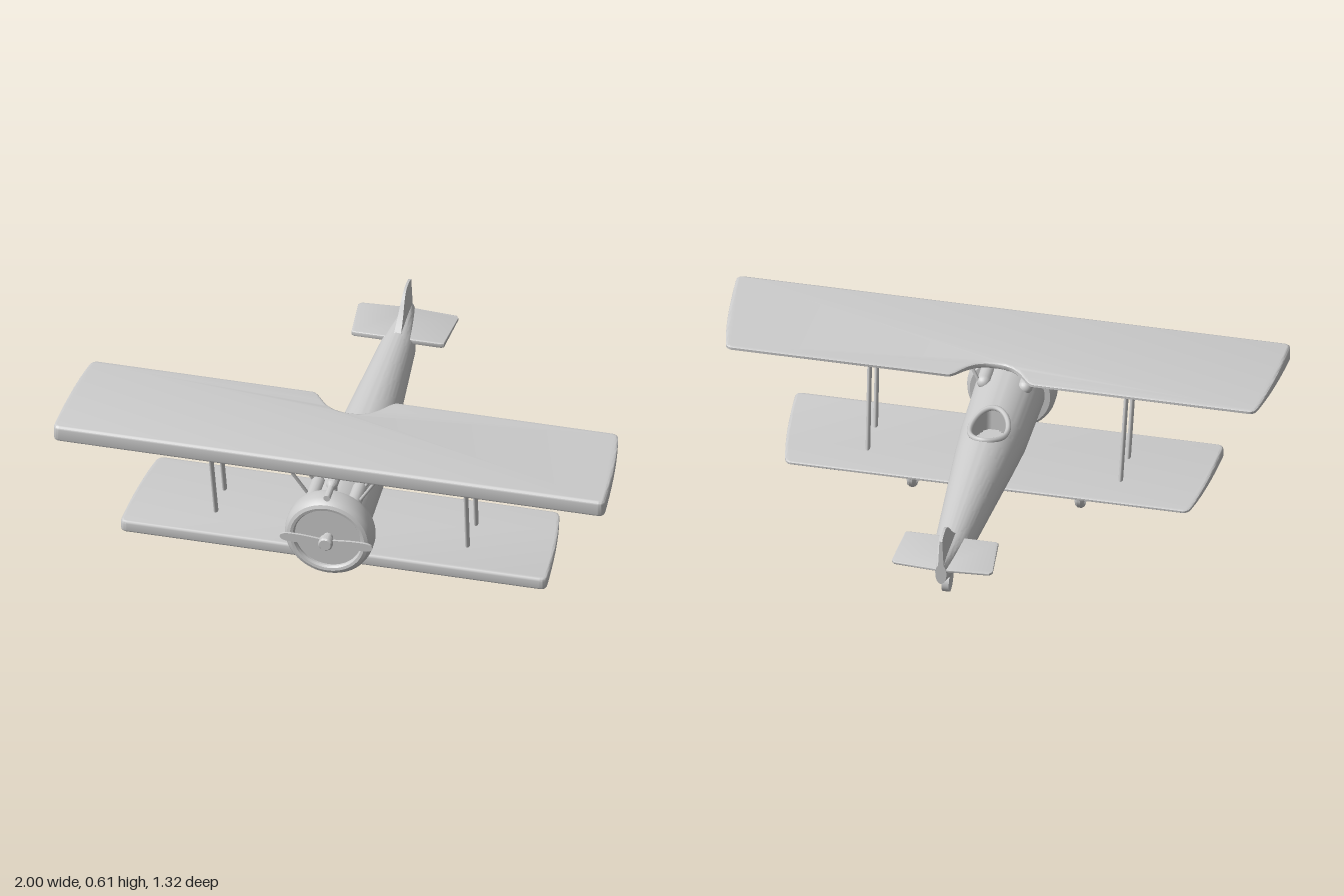
import * as THREE from 'three';
import { toCreasedNormals } from 'three/addons/utils/BufferGeometryUtils.js';

const V = (x, y, z) => new THREE.Vector3(x, y, z);
const material = new THREE.MeshStandardMaterial({ color: 0xcccccc, side: THREE.DoubleSide });

// fuselage stations: z, half width, top, bottom
const stations = [
  [-0.66, 0.02, 0.405, 0.32], [-0.47, 0.064, 0.407, 0.27], [0.1, 0.11, 0.42, 0.2],
  [0.25, 0.12, 0.42, 0.182], [0.54, 0.125, 0.42, 0.178],
];
function section(z) {
  let i = 0;
  while (i < stations.length - 2 && z > stations[i + 1][0]) i++;
  const a = stations[i], b = stations[i + 1];
  const t = (z - a[0]) / (b[0] - a[0]);
  const [hw, top, bottom] = [1, 2, 3].map((k) => a[k] + (b[k] - a[k]) * t);
  return { hw, cy: (top + bottom) / 2, hh: (top - bottom) / 2 };
}

function editVertices(geometry, rule) {
  const p = geometry.attributes.position;
  const v = new THREE.Vector3();
  for (let i = 0; i < p.count; i++) {
    rule(v.fromBufferAttribute(p, i));
    p.setXYZ(i, v.x, v.y, v.z);
  }
  geometry.computeVertexNormals();
  return geometry;
}

// plan shape is drawn in (x, z), then thickened in y below "top"; thinner towards the rear
function wingGeometry(shape, top, thick, front, rear, rearRatio, bevel) {
  const geometry = new THREE.ExtrudeGeometry(shape, {
    depth: thick - 2 * bevel, curveSegments: 16, bevelEnabled: true,
    bevelSize: bevel, bevelThickness: bevel, bevelOffset: -bevel, bevelSegments: 3,
  });
  geometry.translate(0, 0, bevel);
  geometry.rotateX(Math.PI / 2); // shape y becomes z, depth goes down
  editVertices(geometry, (v) => {
    const t = (v.z - rear) / (front - rear);
    v.y = top + v.y * (rearRatio + (1 - rearRatio) * t) - 0.006 * (1 - t);
  });
  return toCreasedNormals(geometry, 0.6);
}

function wingPlan(span, front, rear, cutout) {
  const s = new THREE.Shape();
  const c = front - rear;
  s.moveTo(-span + 0.025, front);
  s.lineTo(span - 0.025, front);
  s.quadraticCurveTo(span, front, span, front - 0.025);
  s.quadraticCurveTo(span - 0.01, rear + c * 0.4, span - 0.04, rear + 0.03);
  s.quadraticCurveTo(span - 0.045, rear, span - 0.07, rear);
  if (cutout) {
    s.lineTo(0.15, rear);
    s.bezierCurveTo(0.11, rear + 0.02, 0.1, rear + 0.095, 0, rear + 0.095);
    s.bezierCurveTo(-0.1, rear + 0.095, -0.11, rear + 0.02, -0.15, rear);
  }
  s.lineTo(-span + 0.07, rear);
  s.quadraticCurveTo(-span + 0.045, rear, -span + 0.04, rear + 0.03);
  s.quadraticCurveTo(-span + 0.01, rear + c * 0.4, -span, front - 0.025);
  s.quadraticCurveTo(-span, front, -span + 0.025, front);
  return s;
}

export function createModel() {
  const model = new THREE.Group();
  const add = (name, geometry) => {
    const mesh = new THREE.Mesh(geometry, material);
    mesh.name = name;
    model.add(mesh);
    return mesh;
  };
  // rod between two points, oval section (half sizes rx, rz)
  const rod = (name, a, b, rx, rz = rx) => {
    const d = b.clone().sub(a);
    const mesh = add(name, new THREE.CylinderGeometry(1, 1, d.length(), 16));
    mesh.scale.set(rx, 1, rz);
    mesh.position.copy(a).add(b).multiplyScalar(0.5);
    mesh.quaternion.setFromUnitVectors(V(0, 1, 0), d.normalize());
    return mesh;
  };
  const lathe = (profile, segments = 48) => toCreasedNormals(
    new THREE.LatheGeometry(profile.map(([r, h]) => new THREE.Vector2(r, h)), segments), 0.5);

  // fuselage with the cockpit pressed into its top
  const cz = 0.172;
  const body = new THREE.CylinderGeometry(1, 1, 1, 80, 160).rotateX(Math.PI / 2);
  editVertices(body, (v) => {
    const z = -0.06 + v.z * 1.2;
    const { hw, cy, hh } = section(z);
    v.set(v.x * hw, cy + v.y * hh, z);
    const inside = (v.x / 0.064) ** 2 + ((z - cz) / 0.097) ** 2 < 1;
    if (inside && v.y > cy) v.y = 0.33;
  });
  add('fuselage', toCreasedNormals(body, 0.7));

  const rim = [];
  for (let i = 0; i < 24; i++) {
    const a = (i / 24) * Math.PI * 2;
    const x = 0.067 * Math.cos(a), z = cz + 0.098 * Math.sin(a);
    const { hw, cy, hh } = section(z);
    rim.push(V(x, cy + hh * Math.sqrt(1 - (x / hw) ** 2), z));
  }
  add('cockpitRim', new THREE.TubeGeometry(new THREE.CatmullRomCurve3(rim, true), 72, 0.01, 8, true));

  // engine cowl
  add('engineCowl', lathe([
    [0, 0.535], [0.145, 0.535], [0.156, 0.545], [0.16, 0.56], [0.16, 0.595], [0.156, 0.613],
    [0.147, 0.625], [0.135, 0.63], [0.125, 0.628], [0.12, 0.62], [0.12, 0.612], [0, 0.612],
  ], 64).rotateX(Math.PI / 2)).position.y = 0.295;

  // propeller
  add('propellerHub', lathe([
    [0, 0.61], [0.018, 0.61], [0.018, 0.632], [0.026, 0.634], [0.026, 0.658], [0.021, 0.664], [0, 0.664],
  ], 24).rotateX(Math.PI / 2)).position.y = 0.295;
  for (const s of [-1, 1]) {
    const blade = new THREE.Shape();
    blade.moveTo(0, -0.009);
    blade.bezierCurveTo(0.05, -0.012, 0.08, -0.019, 0.14, -0.017);
    blade.quadraticCurveTo(0.168, -0.014, 0.168, 0);
    blade.quadraticCurveTo(0.168, 0.014, 0.14, 0.017);
    blade.bezierCurveTo(0.08, 0.019, 0.05, 0.012, 0, 0.009);
    const mesh = add('propellerBlade', new THREE.ExtrudeGeometry(blade, { depth: 0.008, bevelEnabled: false }));
    mesh.position.set(0, 0.295, s > 0 ? 0.638 : 0.646);
    mesh.rotation.y = s > 0 ? 0 : Math.PI;
  }

  // wings
  add('upperWing', wingGeometry(wingPlan(1, 0.61, 0.19, true), 0.61, 0.065, 0.61, 0.19, 0.22, 0.012));
  add('lowerWing', wingGeometry(wingPlan(0.773, 0.54, 0.13, false), 0.182, 0.048, 0.54, 0.13, 0.25, 0.01));

  // tailplane and fin
  const tail = new THREE.Shape([
    [-0.158, -0.465], [-0.168, -0.47], [-0.182, -0.635], [-0.172, -0.648], [0, -0.66],
    [0.172, -0.648], [0.182, -0.635], [0.168, -0.47], [0.158, -0.465],
  ].map(([x, z]) => new THREE.Vector2(x, z)));
  add('tailplane', wingGeometry(tail, 0.388, 0.02, -0.465, -0.66, 0.5, 0.004));

  const fin = new THREE.Shape();
  fin.moveTo(0.46, 0.4);
  fin.quadraticCurveTo(0.5, 0.43, 0.535, 0.472);
  fin.quadraticCurveTo(0.57, 0.515, 0.605, 0.515);
  fin.quadraticCurveTo(0.64, 0.515, 0.66, 0.505);
  fin.lineTo(0.66, 0.33);
  fin.lineTo(0.6, 0.33);
  const finGeometry = new THREE.ExtrudeGeometry(fin, { depth: 0.024, bevelEnabled: false })
    .translate(0, 0, -0.012).rotateY(Math.PI / 2);
  editVertices(finGeometry, (v) => { v.x *= 1.1 - 0.75 * Math.max(0, (v.y - 0.4) / 0.115); });
  add('fin', finGeometry);

  // gun on the nose
  add('gun', lathe([
    [0, 0.47], [0.02, 0.47], [0.02, 0.555], [0.012, 0.57], [0.012, 0.635], [0, 0.635],
  ], 20).rotateX(Math.PI / 2)).position.y = 0.48;
  rod('gunMount', V(0, 0.41, 0.5), V(0, 0.47, 0.5), 0.008);

  for (const s of [-1, 1]) {
    // struts
    rod('interplaneStrut', V(s * 0.456, 0.165, 0.397), V(s * 0.465, 0.565, 0.476), 0.008, 0.014);
    rod('interplaneStrut', V(s * 0.456, 0.165, 0.262), V(s * 0.465, 0.585, 0.345), 0.008, 0.014);
    rod('cabaneStrut', V(s * 0.085, 0.39, 0.52), V(s * 0.182, 0.56, 0.55), 0.006);
    rod('cabaneStrut', V(s * 0.085, 0.39, 0.435), V(s * 0.182, 0.57, 0.47), 0.006);

    // cheek fairing behind the cowl
    const cheek = add('cheekFairing', new THREE.CapsuleGeometry(0.026, 0.09, 6, 16).rotateX(Math.PI / 2));
    cheek.position.set(s * 0.075, 0.398, 0.49);

    // main wheel with raised tyre and flat disc
    const wheel = add('mainWheel', lathe([
      [0, -0.011], [0.046, -0.011], [0.05, -0.016], [0.06, -0.014], [0.065, -0.006],
      [0.065, 0.006], [0.06, 0.014], [0.05, 0.016], [0.046, 0.011], [0, 0.011],
    ]).rotateZ(Math.PI / 2));
    wheel.position.set(s * 0.303, 0.066, 0.327);
    rod('gearStrut', V(s * 0.25, 0.075, 0.327), V(s * 0.05, 0.155, 0.327), 0.006, 0.014);
  }
  rod('axle', V(-0.3, 0.068, 0.327), V(0.3, 0.068, 0.327), 0.01);
  add('gearMount', new THREE.BoxGeometry(0.14, 0.03, 0.035)).position.set(0, 0.155, 0.327);

  // tail wheel
  add('tailWheel', new THREE.CylinderGeometry(0.042, 0.042, 0.026, 32).rotateZ(Math.PI / 2))
    .position.set(0, 0.256, -0.545);
  return model;
}
